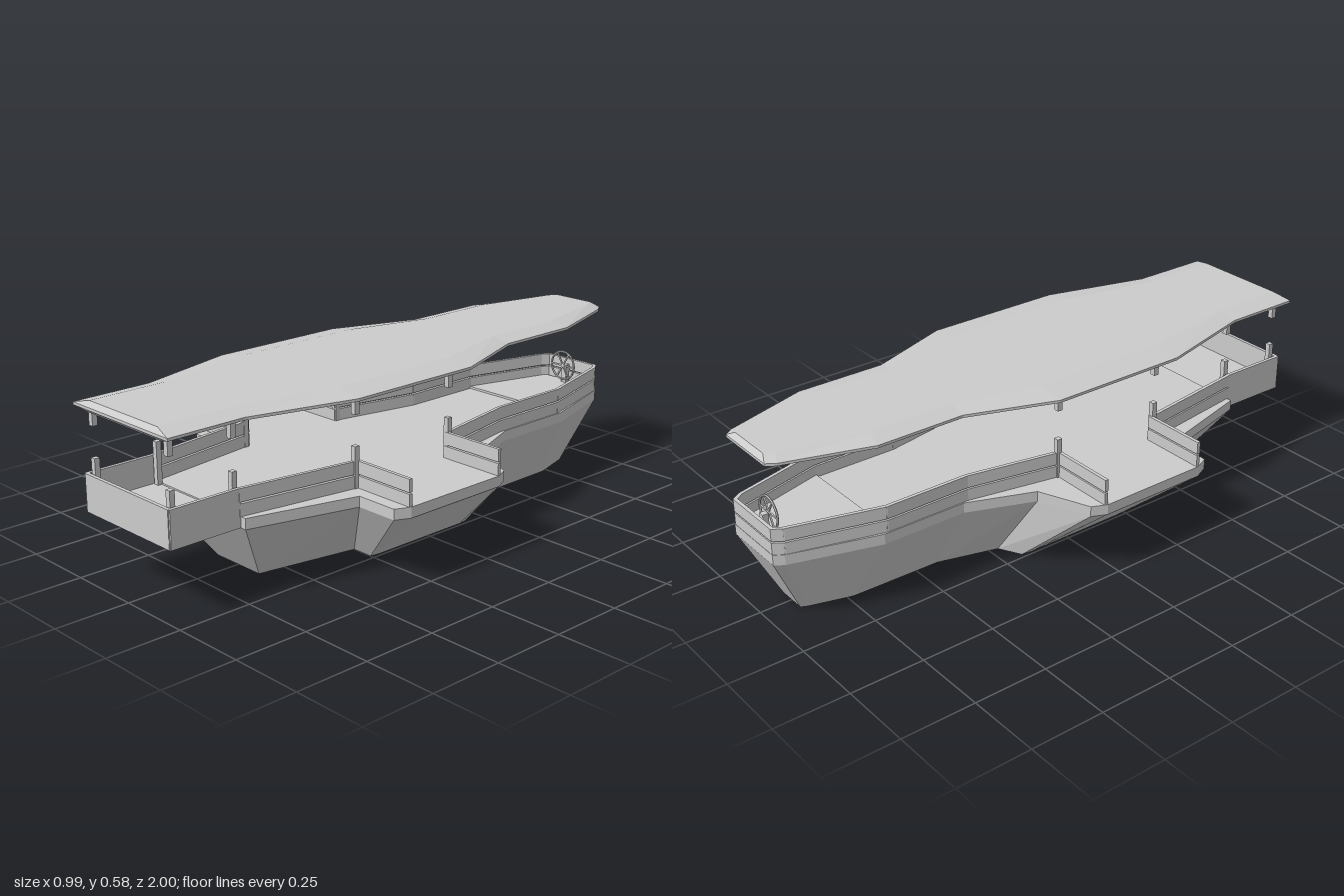
import * as THREE from 'three';

const mat = new THREE.MeshStandardMaterial({ color: 0xcccccc, flatShading: true, side: THREE.DoubleSide });

function add(parent, geometry, name, x = 0, y = 0, z = 0) {
  const m = new THREE.Mesh(geometry, mat);
  m.name = name;
  m.position.set(x, y, z);
  parent.add(m);
  return m;
}

// Mirrors a half outline of [x, z] points (front to back) into a closed ring at height y
function ring(half, y, sx = 1, sz = 1) {
  const pts = half.map(([x, z]) => [x * sx, y, z * sz]);
  return pts.concat(pts.map(([x, h, z]) => [-x, h, z]).reverse());
}

// Closed solid through rings listed from bottom to top
function loft(rings) {
  const n = rings[0].length, idx = [];
  for (let r = 0; r < rings.length - 1; r++) {
    for (let i = 0; i < n; i++) {
      const j = (i + 1) % n, a = r * n + i, b = r * n + j;
      idx.push(a, b, b + n, a, b + n, a + n);
    }
  }
  const cap = (k) => THREE.ShapeUtils.triangulateShape(rings[k].map((p) => new THREE.Vector2(p[0], -p[2])), []);
  const last = rings.length - 1;
  cap(0).forEach(([a, b, c]) => idx.push(a, c, b));
  cap(last).forEach(([a, b, c]) => idx.push(a + last * n, b + last * n, c + last * n));
  const g = new THREE.BufferGeometry();
  g.setAttribute('position', new THREE.Float32BufferAttribute(rings.flat(2), 3));
  g.setIndex(idx);
  const flat = g.toNonIndexed();
  flat.computeVertexNormals();
  return flat;
}

// Upright board between two [x, z] points
function board(parent, a, b, y0, y1, name, t = 0.012) {
  const dx = b[0] - a[0], dz = b[1] - a[1];
  const m = add(parent, new THREE.BoxGeometry(Math.hypot(dx, dz) + t * 0.5, y1 - y0, t), name,
    (a[0] + b[0]) / 2, (y0 + y1) / 2, (a[1] + b[1]) / 2);
  m.rotation.y = Math.atan2(-dz, dx);
}

export function createModel() {
  const group = new THREE.Group();

  // Hull: flat keel, flared sides with two wings, upright deck band
  const deck = [[0.23, 0.74], [0.325, 0.38], [0.472, 0.38], [0.495, 0.33], [0.495, -0.05],
    [0.472, -0.1], [0.3, -0.17], [0.215, -0.39], [0.215, -0.68], [0.13, -0.97], [0.11, -1]];
  const keel = [[0.1, 0.59], [0.16, 0.25], [0.235, 0.25], [0.24, 0.22], [0.24, -0.15],
    [0.235, -0.18], [0.16, -0.22], [0.105, -0.42], [0.1, -0.73], [0.06, -0.87], [0.05, -0.89]];
  add(group, loft([ring(keel, 0), ring(deck, 0.225), ring(deck, 0.26)]), 'hull');

  // Raised stern floor
  add(group, loft([0.26, 0.268].map((y) => ring([[0.2, -0.66], [0.11, -0.98]], y))), 'sternFloor');

  // Bow balcony: floor and solid walls
  const balcony = new THREE.Group();
  balcony.name = 'bowBalcony';
  group.add(balcony);
  add(balcony, new THREE.BoxGeometry(0.41, 0.03, 0.26), 'balconyFloor', 0, 0.24, 0.86);
  board(balcony, [-0.2, 0.985], [0.2, 0.985], 0.225, 0.347, 'balconyFrontWall');
  for (const s of [-1, 1]) board(balcony, [s * 0.203, 0.74], [s * 0.203, 0.985], 0.225, 0.347, 'balconySideWall');

  // Railings: two boards with a thin gap, open at the wing ends
  const rails = new THREE.Group();
  rails.name = 'railings';
  group.add(rails);
  const paths = [
    [[0.205, 0.74], [0.264, 0.34]],
    [[0.264, 0.33], [0.489, 0.33]],
    [[0.489, -0.055], [0.264, -0.055]],
    [[0.264, -0.06], [0.205, -0.37], [0.205, -0.665], [0.124, -0.965], [0.105, -0.993]],
  ];
  const heights = [[0.26, 0.3], [0.305, 0.347]];
  for (const [y0, y1] of heights) {
    for (const s of [-1, 1]) {
      for (const path of paths) {
        for (let i = 0; i < path.length - 1; i++) {
          const [p, q] = [path[i], path[i + 1]];
          board(rails, [s * p[0], p[1]], [s * q[0], q[1]], y0, y1, 'railBoard');
        }
      }
    }
    board(rails, [-0.105, -0.993], [0.105, -0.993], y0, y1, 'sternBoard');
  }

  // Posts: lower stubs on deck, upper stubs under the roof
  for (const s of [-1, 1]) {
    for (const [x, z] of [[0.183, 0.965], [0.183, 0.745], [0.264, 0.34], [0.264, -0.06]]) {
      add(group, new THREE.BoxGeometry(0.018, 0.145, 0.018), 'lowerPost', s * x, 0.3225, z);
      add(group, new THREE.BoxGeometry(0.018, 0.055, 0.018), 'upperPost', s * x, 0.5225, z);
    }
  }

  // Steering wheel on a small stand at the stern
  const wheel = new THREE.Group();
  wheel.name = 'steeringWheel';
  wheel.position.set(0, 0.333, -0.942);
  group.add(wheel);
  add(wheel, new THREE.TorusGeometry(0.052, 0.004, 6, 24), 'wheelRim');
  for (let i = 0; i < 3; i++) {
    add(wheel, new THREE.BoxGeometry(0.104, 0.005, 0.005), 'wheelSpoke').rotation.z = (i * Math.PI) / 3;
  }
  add(group, new THREE.BoxGeometry(0.02, 0.075, 0.02), 'wheelStand', 0, 0.2975, -0.958);

  // Roof: thin canopy with bevelled edges
  const roof = [[0.23, 1], [0.23, 0.73], [0.322, 0.38], [0.322, -0.1], [0.218, -0.39],
    [0.218, -0.69], [0.13, -0.97], [0.11, -1]];
  add(group, loft([ring(roof, 0.541, 0.78, 0.985), ring(roof, 0.555), ring(roof, 0.564),
    ring(roof, 0.579, 0.72, 0.985)]), 'roof');

  return group;
}
